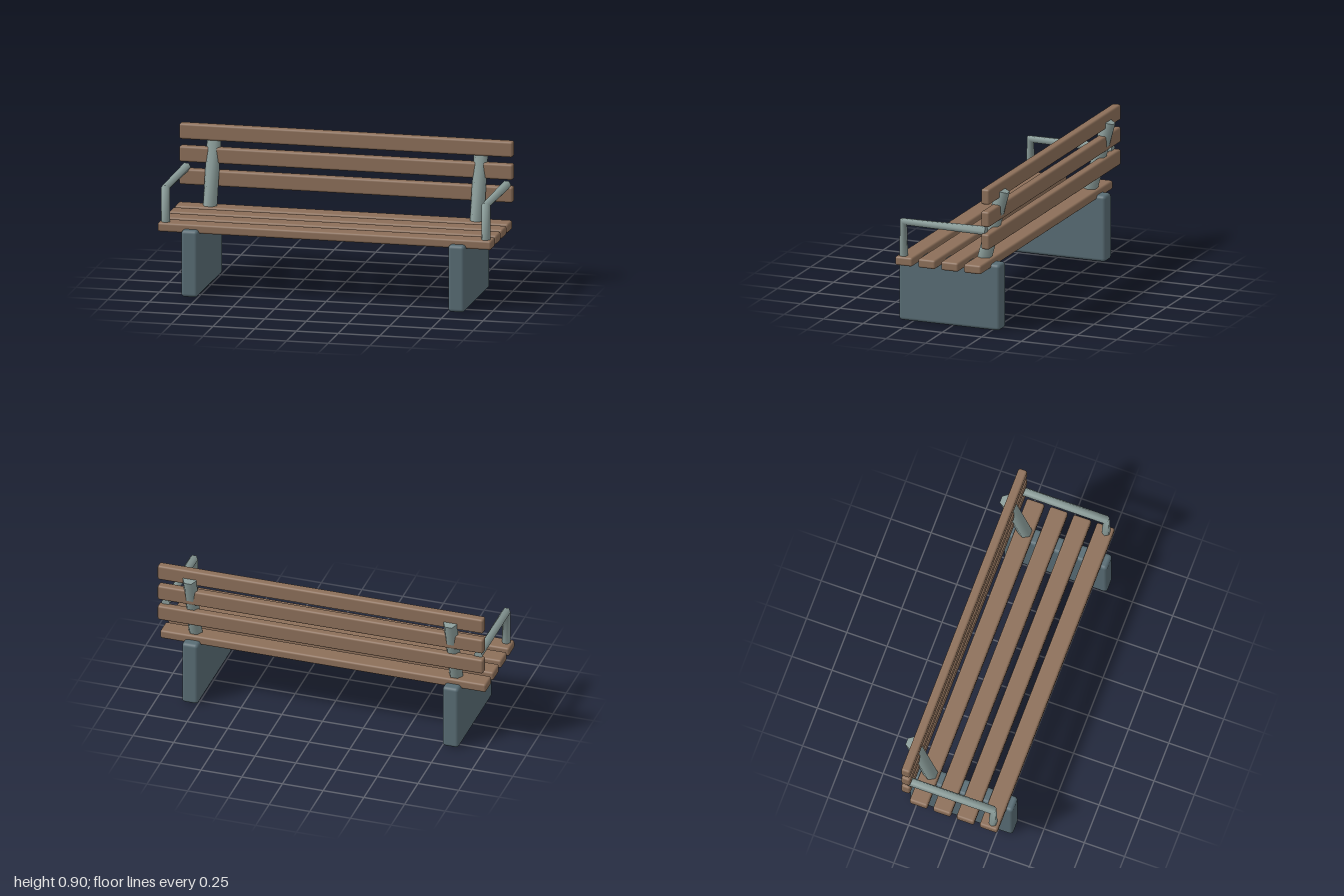
import * as THREE from 'three';
import { RoundedBoxGeometry } from 'three/addons/geometries/RoundedBoxGeometry.js';

const material = (name, color) => {
  const m = new THREE.MeshStandardMaterial({ color });
  m.name = name;
  return m;
};

// Six-sided capped bar following [y, z] points in a plane of constant x
function barGeometry(path, radius, sides = 6) {
  const points = path.map(([y, z]) => new THREE.Vector3(0, y, z));
  const u = new THREE.Vector3(1, 0, 0);
  const pos = [], index = [], rings = [];
  points.forEach((p, i) => {
    // Each ring faces along the bisector of its neighbouring segments
    const t = new THREE.Vector3();
    if (i > 0) t.add(p.clone().sub(points[i - 1]).normalize());
    if (i < points.length - 1) t.add(points[i + 1].clone().sub(p).normalize());
    const n = t.normalize().clone().cross(u);
    const ring = [];
    for (let j = 0; j < sides; j++) {
      const a = (j / sides) * Math.PI * 2;
      ring.push(p.clone().addScaledVector(u, radius * Math.cos(a)).addScaledVector(n, radius * Math.sin(a)));
    }
    rings.push(ring);
    ring.forEach((v) => pos.push(v.x, v.y, v.z));
  });
  for (let i = 0; i < rings.length - 1; i++) {
    for (let j = 0; j < sides; j++) {
      const k = (j + 1) % sides;
      const a = i * sides + j, b = i * sides + k;
      index.push(a, b, b + sides, a, b + sides, a + sides);
    }
  }
  // End caps with their own vertices so the rims stay sharp
  [[rings[0], true], [rings[rings.length - 1], false]].forEach(([ring, flip]) => {
    const start = pos.length / 3;
    ring.forEach((v) => pos.push(v.x, v.y, v.z));
    for (let j = 1; j < sides - 1; j++) {
      if (flip) index.push(start, start + j + 1, start + j);
      else index.push(start, start + j, start + j + 1);
    }
  });
  const g = new THREE.BufferGeometry();
  g.setAttribute('position', new THREE.Float32BufferAttribute(pos, 3));
  g.setIndex(index);
  g.computeVertexNormals();
  return g;
}

export function createModel() {
  const bench = new THREE.Group();
  bench.name = 'bench';
  const wood = material('wood', 0x8c6f59);
  const stone = material('blueGreyLeg', 0x586c74);
  const metal = material('paleMetal', 0x8a9c99);

  const add = (name, geometry, mat, x, y, z) => {
    const mesh = new THREE.Mesh(geometry, mat);
    mesh.name = name;
    mesh.position.set(x, y, z);
    bench.add(mesh);
  };

  // Seat slats
  const seatSlat = new RoundedBoxGeometry(2, 0.054, 0.11, 3, 0.013);
  for (let i = 0; i < 4; i++) {
    add(`seatSlat${i + 1}`, seatSlat, wood, 0, 0.402, 0.245 - i * 0.145);
  }

  // Backrest slats
  const backSlat = new RoundedBoxGeometry(2, 0.094, 0.054, 3, 0.013);
  for (let i = 0; i < 3; i++) {
    add(`backSlat${i + 1}`, backSlat, wood, 0, 0.577 + i * 0.136, -0.27);
  }

  // Slab legs, leaning back posts and bent armrests, mirrored
  const leg = new RoundedBoxGeometry(0.1, 0.4, 0.64, 3, 0.02);
  const post = barGeometry([[0.39, -0.176], [0.842, -0.3]], 0.0425);
  const arm = barGeometry([[0.4, 0.26], [0.634, 0.26], [0.634, -0.262]], 0.0268);
  [['left', 1], ['right', -1]].forEach(([side, s]) => {
    add(`${side}Leg`, leg, stone, s * 0.8, 0.2, 0.02);
    add(`${side}BackPost`, post, metal, s * 0.8, 0, 0);
    add(`${side}Armrest`, arm, metal, s * 0.96, 0, 0);
  });

  return bench;
}
